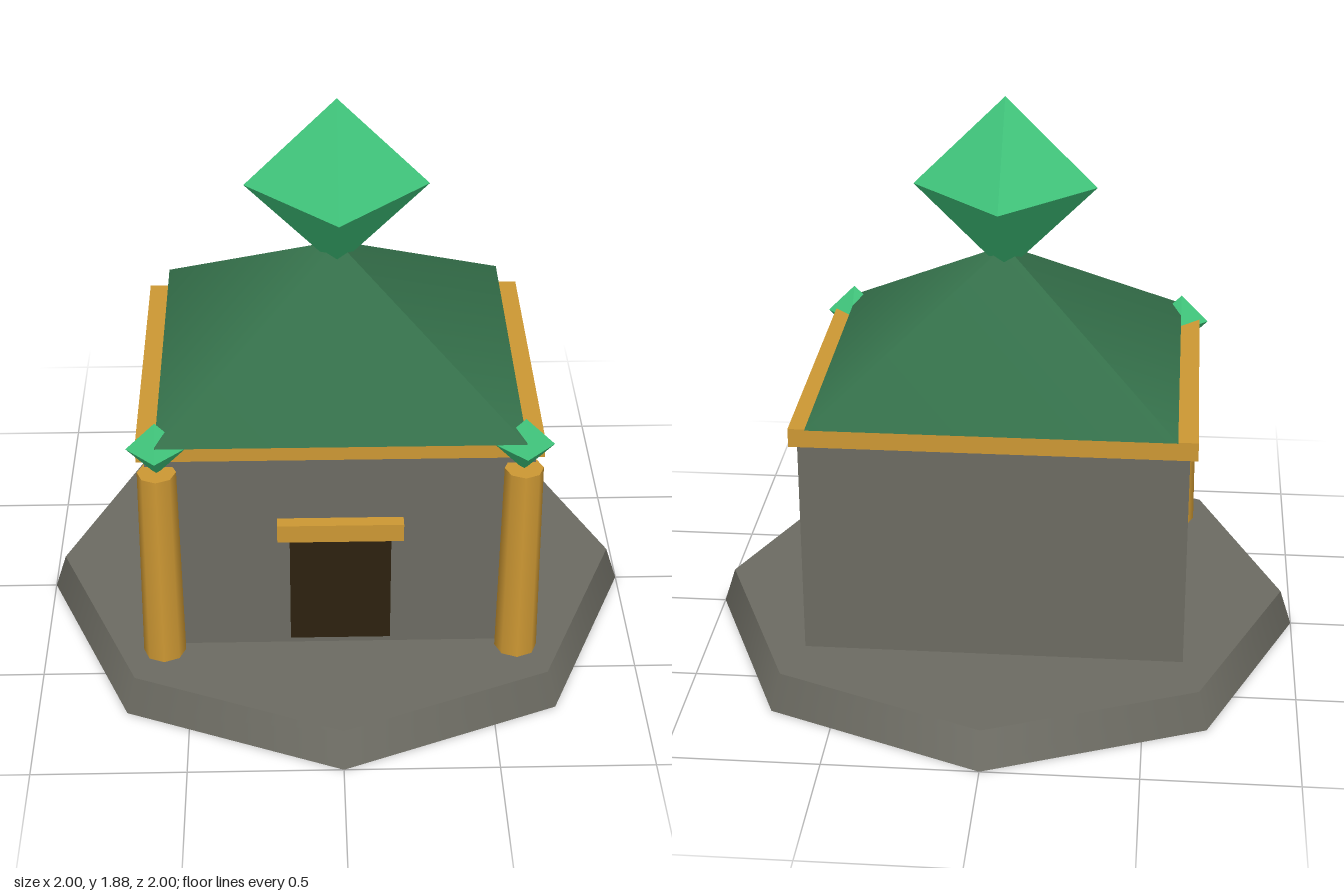
import * as THREE from 'three';

function material(name, color, flatShading = false) {
  const m = new THREE.MeshStandardMaterial({ color, flatShading });
  m.name = name;
  return m;
}

export function createModel() {
  const stone = material('stone', 0x6c6b62);
  const gold = material('gold', 0xcc9733);
  const roofGreen = material('roof green', 0x34704a);
  const crystalGreen = material('crystal green', 0x40c67c, true);
  const darkWood = material('dark wood', 0x2d210f);

  const model = new THREE.Group();
  model.name = 'shrine';

  const add = (name, geometry, mat, x, y, z) => {
    const mesh = new THREE.Mesh(geometry, mat);
    mesh.name = name;
    mesh.position.set(x, y, z);
    model.add(mesh);
    return mesh;
  };
  // Box given by its size, its bottom height and its centre in z
  const addBox = (name, mat, w, h, d, bottom, z = 0) =>
    add(name, new THREE.BoxGeometry(w, h, d), mat, 0, bottom + h / 2, z);

  // Eight-sided plinth and the hall on it
  add('plinth', new THREE.CylinderGeometry(0.96, 1, 0.125, 8), stone, 0, 0.0625, 0);
  addBox('walls', stone, 1.25, 0.75, 1, 0.125);
  addBox('cornice', gold, 1.3, 0.0625, 1.04, 0.867);

  // Doorway
  addBox('door', darkWood, 0.33, 0.4, 0.04, 0.165, 0.51);
  addBox('lintel', gold, 0.41, 0.064, 0.05, 0.565, 0.52);

  // Pyramid roof, floating just above the cornice
  const roof = add('roof', new THREE.ConeGeometry(0.585 * Math.SQRT2, 0.42, 4), roofGreen, 0, 1.167, 0);
  roof.rotation.y = Math.PI / 4;

  // Large crystal on the roof
  add('roofCrystal', new THREE.OctahedronGeometry(0.3), crystalGreen, 0, 1.583, 0);

  // Front columns, each topped by a small crystal
  for (const [side, s] of [['left', 1], ['right', -1]]) {
    add(side + 'Column', new THREE.CylinderGeometry(0.0625, 0.07, 0.71, 8), gold, s * 0.585, 0.48, 0.53);
    add(side + 'ColumnCrystal', new THREE.OctahedronGeometry(0.095), crystalGreen, s * 0.585, 0.917, 0.52);
  }

  return model;
}
